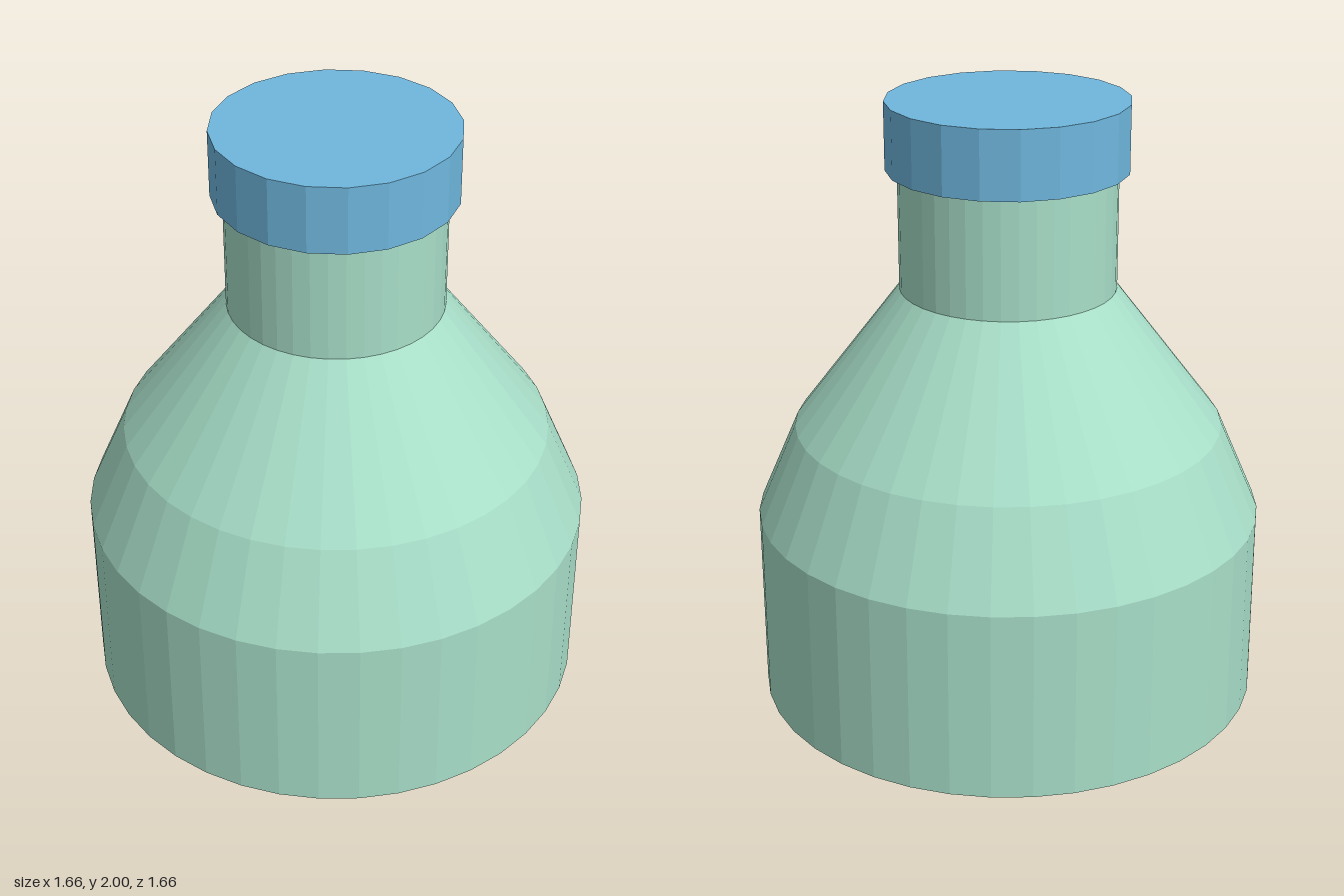
import * as THREE from 'three';

export function createModel() {
  const bottle = new THREE.Group();
  bottle.name = 'bottle';

  const glass = new THREE.MeshStandardMaterial({ color: 0xa8dfc9, flatShading: true });
  glass.name = 'pale green';
  const blue = new THREE.MeshStandardMaterial({ color: 0x6fb7de, flatShading: true });
  blue.name = 'cap blue';

  // Hollow body: up the outer wall, over the neck rim, down the inner wall to the open base
  const profile = [
    [0.83, 0], [0.83, 0.63], [0.7, 0.93], [0.35, 1.39], [0.35, 1.8],
    [0.28, 1.8], [0.28, 1.37], [0.63, 0.91], [0.76, 0.63], [0.76, 0], [0.83, 0],
  ].map(([r, y]) => new THREE.Vector2(r, y));
  const body = new THREE.Mesh(new THREE.LatheGeometry(profile, 40), glass);
  body.name = 'body';

  // Faceted cap closing the neck
  const cap = new THREE.Mesh(new THREE.CylinderGeometry(0.388, 0.388, 0.22, 20), blue);
  cap.name = 'cap';
  cap.position.y = 1.89;

  bottle.add(body, cap);
  return bottle;
}
